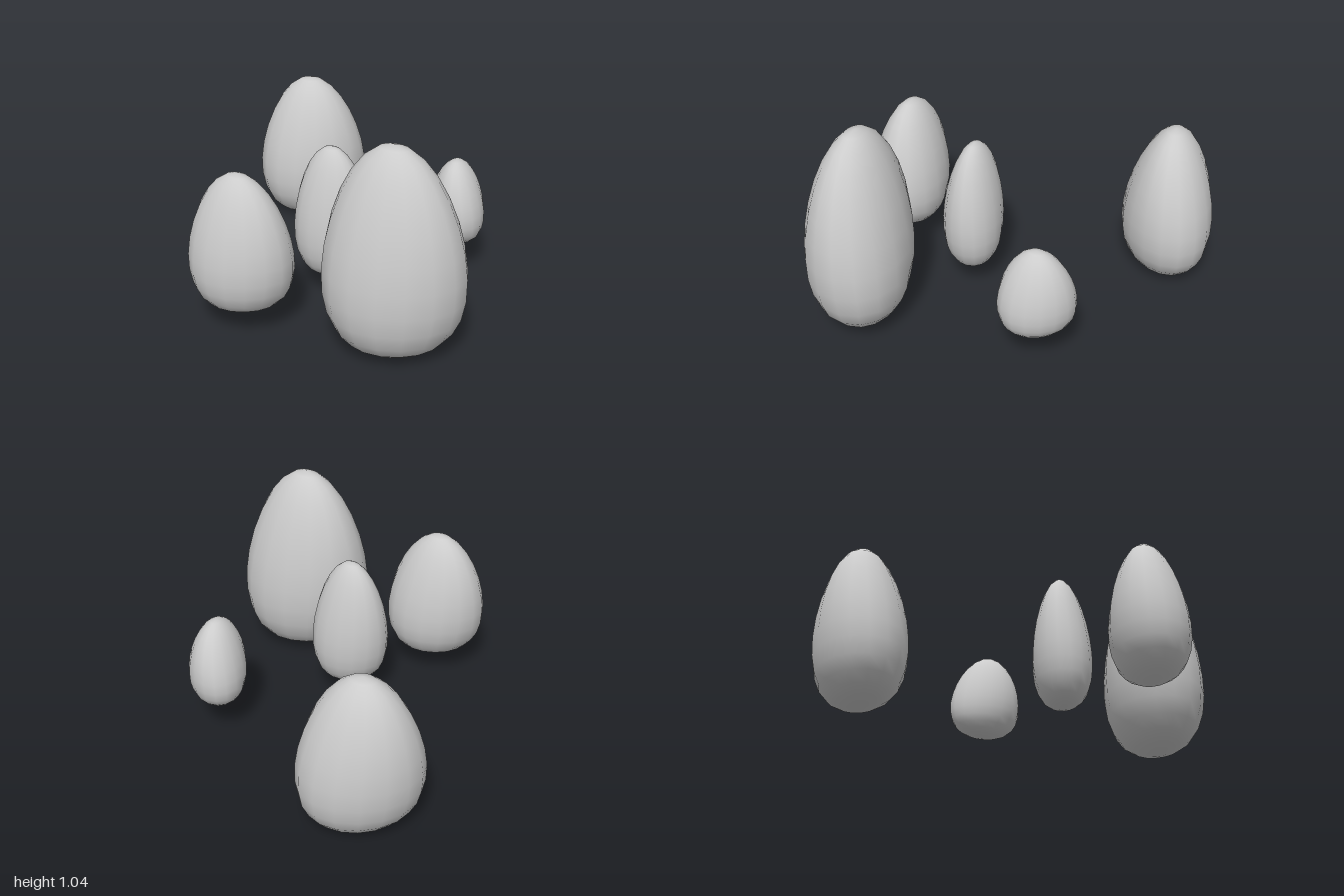
import * as THREE from 'three';
import { mergeVertices } from 'three/addons/utils/BufferGeometryUtils.js';

// Unit egg: x and z within -1..1, y from 0 to 1, blunt side to side, pointed front to back
function eggGeometry() {
  const sphere = new THREE.SphereGeometry(1, 16, 14);
  sphere.deleteAttribute('uv');
  sphere.deleteAttribute('normal');
  const egg = mergeVertices(sphere, 1e-4);
  const pos = egg.attributes.position;
  const skew = -0.25; // cross-section leans onto a diagonal
  const across = Math.sqrt(1 - skew * skew);
  for (let i = 0; i < pos.count; i++) {
    const x = pos.getX(i);
    const f = Math.pow(Math.max(0, (pos.getY(i) + 1) / 2), 1.32); // lowers the widest ring
    const taper = 1.13 - 0.34 * f;
    const lean = -0.1 * (f - 0.45);
    pos.setXYZ(i, x + lean, f, (skew * x + across * pos.getZ(i)) * taper);
  }
  egg.computeVertexNormals();
  return egg;
}

export function createModel() {
  const group = new THREE.Group();
  const geometry = eggGeometry();
  const material = new THREE.MeshStandardMaterial({ color: 0xcccccc });

  // centre x, z; bottom, top; half width, half depth (before turning); turn about y
  const eggs = [
    { name: 'rightBackEgg', x: -0.745, z: -0.535, y0: 0.005, y1: 0.81, rx: 0.255, rz: 0.275, turn: 0 },
    { name: 'smallBackEgg', x: 0.295, z: -0.63, y0: 0.17, y1: 0.62, rx: 0.162, rz: 0.175, turn: Math.PI / 2 },
    { name: 'middleEgg', x: 0.085, z: 0.045, y0: 0.12, y1: 0.81, rx: 0.185, rz: 0.168, turn: 0 },
    { name: 'frontEgg', x: 0.04, z: 0.59, y0: 0.115, y1: 0.81, rx: 0.24, rz: 0.22, turn: 0 },
    { name: 'largeLeftEgg', x: 0.685, z: 0.203, y0: 0.02, y1: 1.05, rx: 0.315, rz: 0.295, turn: 0 },
  ];
  for (const e of eggs) {
    const mesh = new THREE.Mesh(geometry, material);
    mesh.name = e.name;
    mesh.position.set(e.x, e.y0, e.z);
    mesh.scale.set(e.rx, e.y1 - e.y0, e.rz);
    mesh.rotation.y = e.turn;
    group.add(mesh);
  }
  return group;
}
